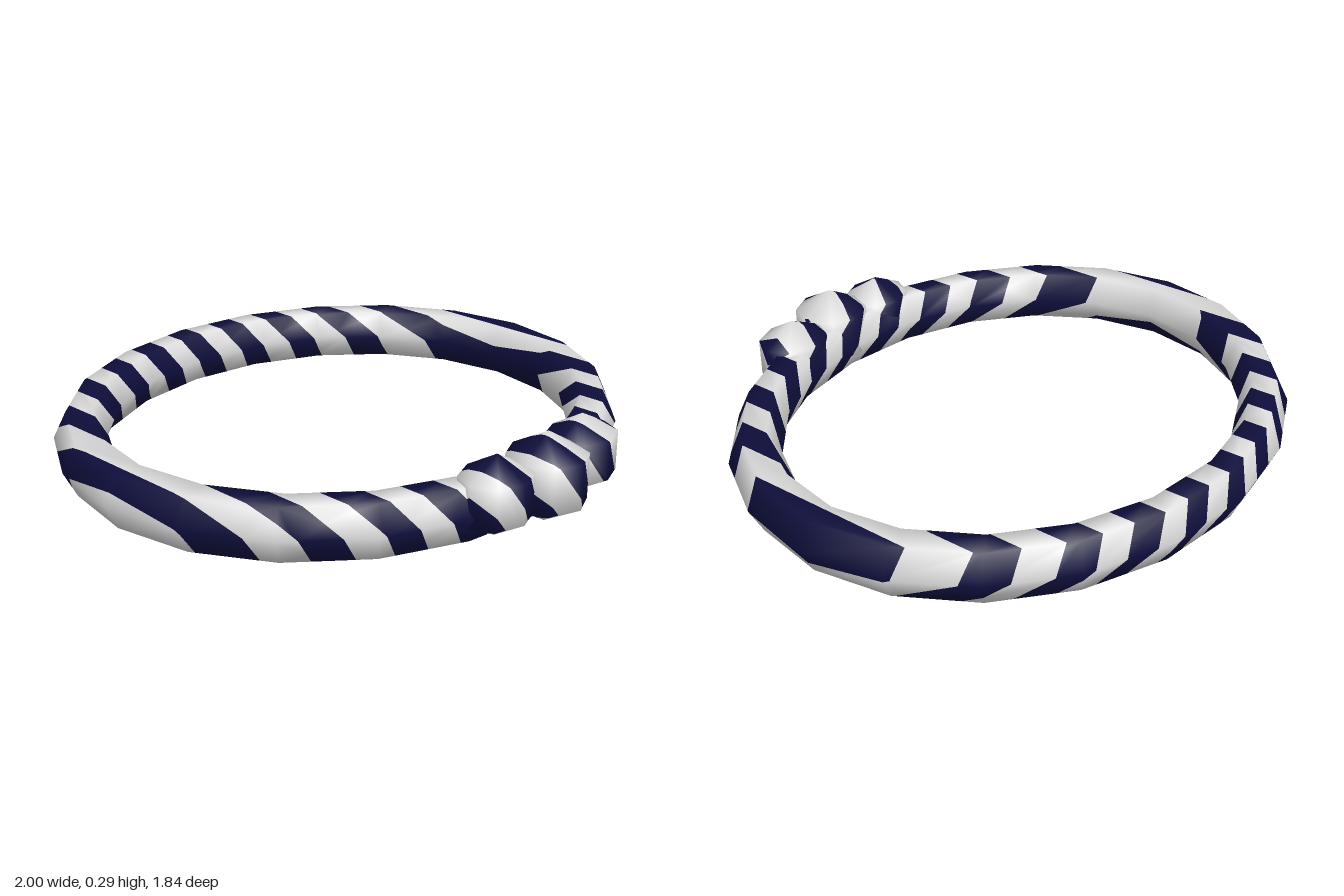
import * as THREE from 'three';

const PERIOD = 0.19, CENTRE = 0.12, SLOPE = 0.65;

// Stripe coordinate: whole numbers and halves fall on the stripe edges
const stripeAt = (v) => (v[0] + SLOPE * v[1] - CENTRE) / PERIOD * 2 + 0.5;

// Keep the part of a polygon where sign * (stripe - limit) >= 0
function clip(poly, limit, sign) {
  const out = [];
  poly.forEach((a, i) => {
    const b = poly[(i + 1) % poly.length];
    const da = sign * (stripeAt(a) - limit), db = sign * (stripeAt(b) - limit);
    if (da >= 0) out.push(a);
    if ((da > 0 && db < 0) || (da < 0 && db > 0)) {
      const t = da / (da - db);
      out.push(a.map((v, k) => v + (b[k] - v) * t));
    }
  });
  return out;
}

// Cut a geometry along slanted planes into alternating colour bands
function striped(name, geometry, materials) {
  const g = geometry.index ? geometry.toNonIndexed() : geometry;
  const p = g.attributes.position, n = g.attributes.normal;
  const bands = [[], []];
  for (let i = 0; i < p.count; i += 3) {
    const tri = [i, i + 1, i + 2].map((j) =>
      [p.getX(j), p.getY(j), p.getZ(j), n.getX(j), n.getY(j), n.getZ(j)]);
    const s = tri.map(stripeAt);
    for (let k = Math.floor(Math.min(...s)); k <= Math.floor(Math.max(...s)); k++) {
      const poly = clip(clip(tri, k, 1), k + 1, -1);
      for (let j = 1; j + 1 < poly.length; j++) {
        bands[Math.abs(k % 2)].push(poly[0], poly[j], poly[j + 1]);
      }
    }
  }
  const group = new THREE.Group();
  group.name = name;
  bands.forEach((verts, i) => {
    const geo = new THREE.BufferGeometry();
    geo.setAttribute('position', new THREE.Float32BufferAttribute(verts.flatMap((v) => v.slice(0, 3)), 3));
    geo.setAttribute('normal', new THREE.Float32BufferAttribute(verts.flatMap((v) => v.slice(3)), 3));
    geo.normalizeNormals();
    const mesh = new THREE.Mesh(geo, materials[i]);
    mesh.name = name + (i === 0 ? 'DarkStripes' : 'LightStripes');
    group.add(mesh);
  });
  return group;
}

export function createModel() {
  const navy = new THREE.MeshStandardMaterial({ color: 0x0e0e3c });
  navy.name = 'navy';
  const white = new THREE.MeshStandardMaterial({ color: 0xdcdcdc });
  white.name = 'white';
  const materials = [navy, white];

  const model = new THREE.Group();
  model.name = 'stripedHeadband';

  // Oval band with a six-sided section, tipped slightly down at the front
  const band = new THREE.TorusGeometry(0.91, 0.09, 6, 20);
  band.rotateX(-Math.PI / 2).scale(1, 1.12, 0.87).rotateX(0.017).translate(0, 0.122, -0.05);
  model.add(striped('band', band, materials));

  // Three knots at the front: name, centre, half sizes
  const knots = [
    ['middleKnot', [0, 0.147, 0.79], [0.125, 0.147, 0.128]],
    ['leftKnot', [0.225, 0.145, 0.757], [0.128, 0.13, 0.107]],
    ['rightKnot', [-0.205, 0.145, 0.757], [0.122, 0.13, 0.107]],
  ];
  for (const [name, centre, size] of knots) {
    const ball = new THREE.SphereGeometry(1, 8, 3);
    // The widest rows of the ball lie at sin 60 degrees
    ball.scale(size[0] / 0.866, size[1], size[2] / 0.866).translate(...centre);
    model.add(striped(name, ball, materials));
  }
  return model;
}
